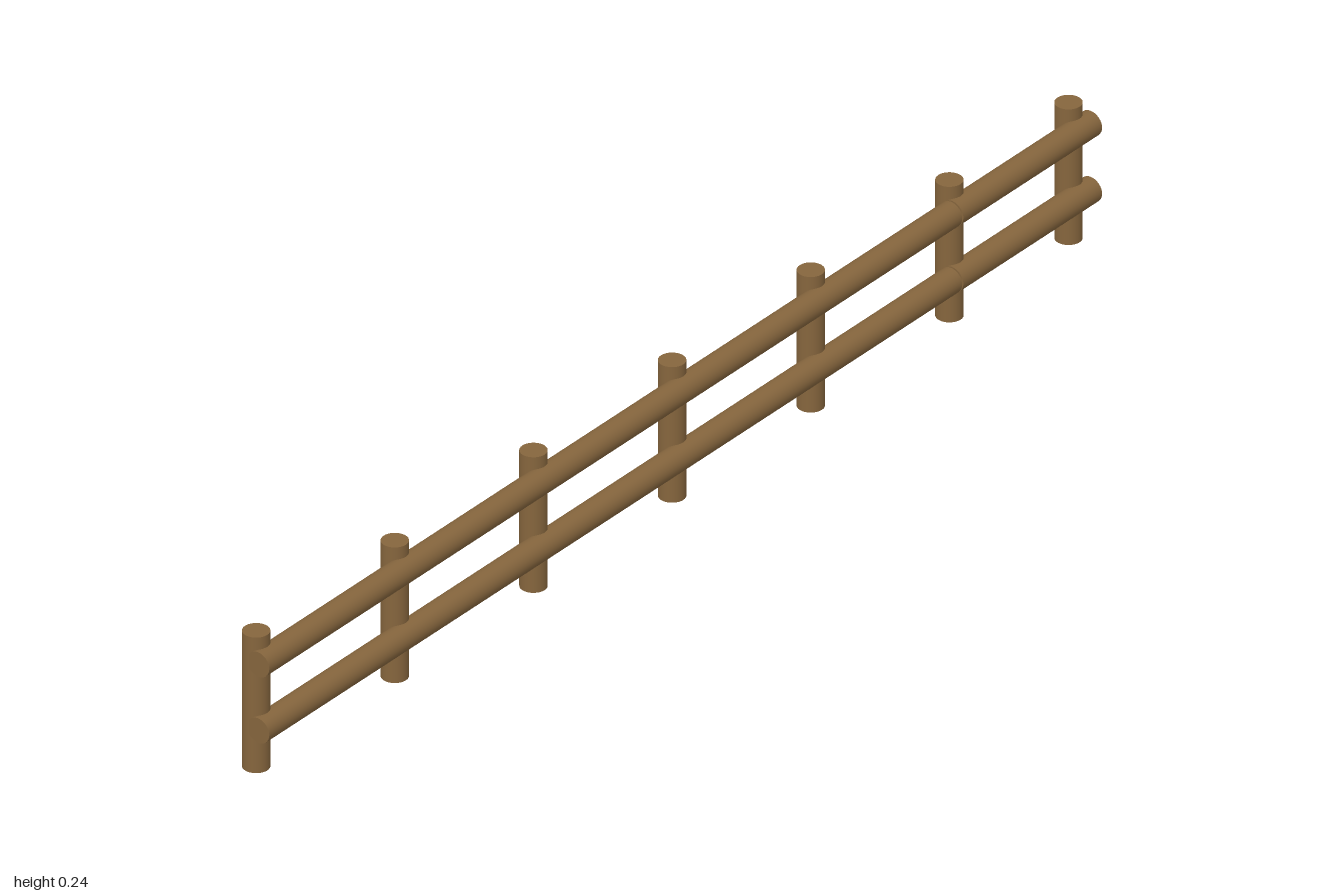
import * as THREE from 'three';

export function createModel() {
  const fence = new THREE.Group();
  fence.name = 'fence';
  const wood = new THREE.MeshStandardMaterial({ color: 0x85653d });
  wood.name = 'brown wood';

  const radius = 0.0213;
  const height = 0.236;

  // Round upright posts, standing behind the rails
  const postGeometry = new THREE.CylinderGeometry(radius, radius, height, 32);
  [-0.979, -0.646, -0.313, 0.02, 0.353, 0.686, 0.972].forEach((x, i) => {
    const post = new THREE.Mesh(postGeometry, wood);
    post.name = `post${i + 1}`;
    post.position.set(x, height / 2, -0.0097);
    fence.add(post);
  });

  // Horizontal log between two x positions
  function addRail(name, x0, x1, y) {
    const geometry = new THREE.CylinderGeometry(radius, radius, x1 - x0, 32);
    geometry.rotateZ(Math.PI / 2);
    const rail = new THREE.Mesh(geometry, wood);
    rail.name = name;
    rail.position.set((x0 + x1) / 2, y, 0.0107);
    fence.add(rail);
  }

  // Two rails, each a long log and a short end log with a fine joint
  for (const [name, y] of [['lowerRail', 0.079], ['upperRail', 0.194]]) {
    addRail(`${name}Long`, -1, 0.664, y);
    addRail(`${name}Short`, 0.667, 1, y);
  }

  return fence;
}
